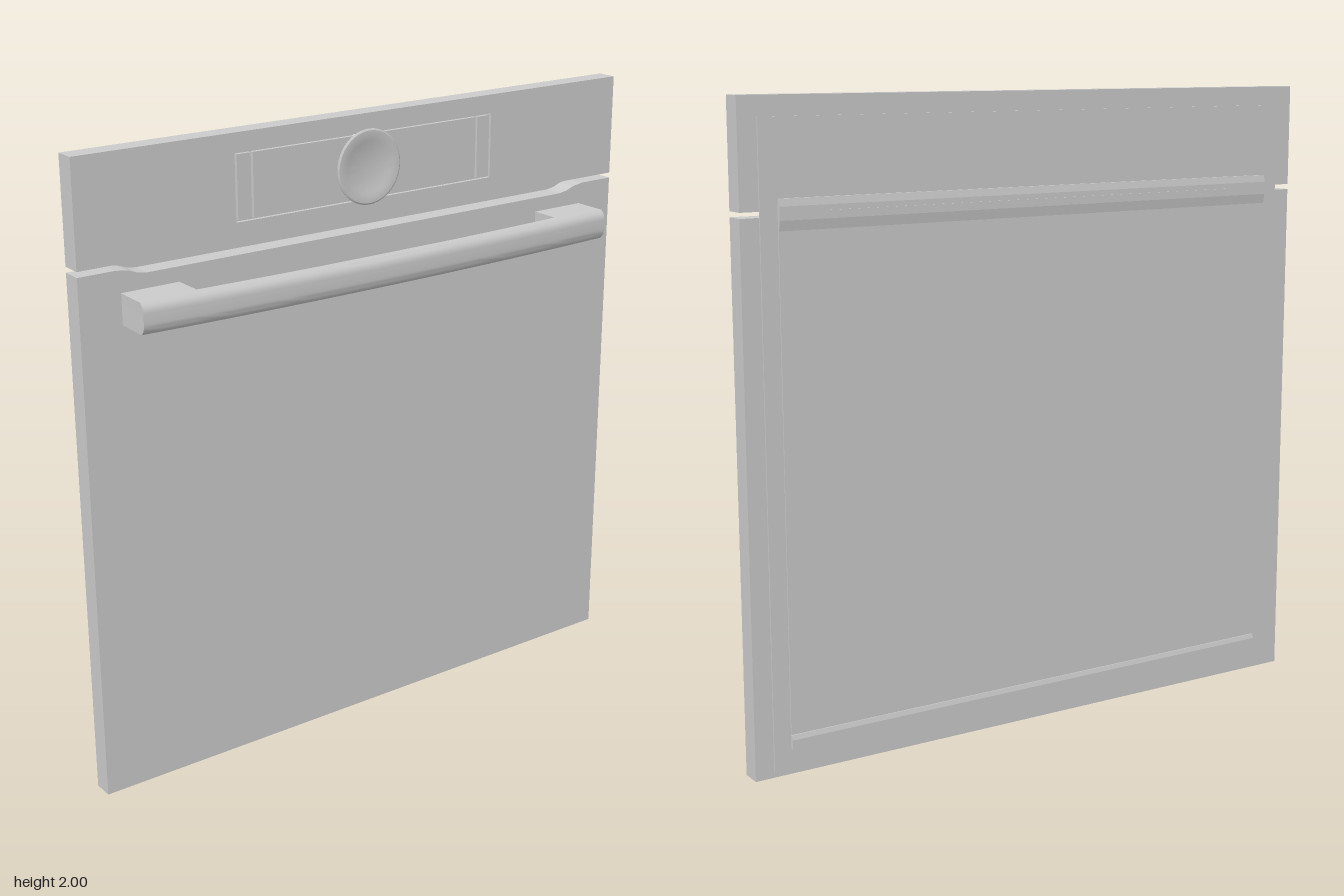
import * as THREE from 'three';
import { toCreasedNormals } from 'three/addons/utils/BufferGeometryUtils.js';

const FRONT = -0.035, BACK = -0.1;

export function createModel() {
  const group = new THREE.Group();
  const material = new THREE.MeshStandardMaterial({ color: 0xcccccc });

  const add = (name, geometry) => {
    const mesh = new THREE.Mesh(geometry, material);
    mesh.name = name;
    group.add(mesh);
    return mesh;
  };
  // Box given by its limits
  const box = (name, x0, x1, y0, y1, z0, z1) =>
    add(name, new THREE.BoxGeometry(x1 - x0, y1 - y0, z1 - z0))
      .position.set((x0 + x1) / 2, (y0 + y1) / 2, (z0 + z1) / 2);
  const outline = (pts, Type = THREE.Shape) => new Type(pts.map(p => new THREE.Vector2(...p)));
  const rect = (x, y0, y1) => [[-x, y0], [x, y0], [x, y1], [-x, y1]];
  const slab = (name, shape) =>
    add(name, new THREE.ExtrudeGeometry(shape, { depth: FRONT - BACK, bevelEnabled: false }))
      .position.z = BACK;

  // Door with a shallow scooped vent along its top edge
  slab('door', outline([
    [-1, 0], [1, 0], [1, 1.66], [0.88, 1.66], [0.84, 1.654], [0.81, 1.643], [0.78, 1.638],
    [-0.78, 1.638], [-0.81, 1.643], [-0.84, 1.654], [-0.88, 1.66], [-1, 1.66],
  ]));

  // Control panel with a window for the display inserts
  const panel = outline(rect(1, 1.677, 2));
  panel.holes.push(outline(rect(0.477, 1.735, 1.942), THREE.Path));
  slab('controlPanel', panel);
  box('displayBacking', -0.477, 0.477, 1.735, 1.942, BACK, -0.047);
  box('display', -0.415, 0.415, 1.741, 1.936, -0.05, FRONT);
  for (const s of [-1, 1]) {
    const xs = [s * 0.422, s * 0.47].sort((a, b) => a - b);
    box('displayEndPanel', xs[0], xs[1], 1.741, 1.936, -0.05, FRONT);
  }

  // Rotary knob: bevelled ring around a slightly dished face
  const knobProfile = [
    [0.117, -0.006], [0.117, 0.002], [0.112, 0.005], [0.088, 0.005], [0.08, 0.002], [0, 0.002],
  ].map(p => new THREE.Vector2(...p));
  const knob = add('knob', toCreasedNormals(new THREE.LatheGeometry(knobProfile, 64), 0.4));
  knob.rotation.x = Math.PI / 2;
  knob.position.set(0, 1.835, FRONT);

  // Bowed handle with its two end posts, drawn in plan and extruded downwards
  const plan = [[0.865, FRONT], [0.675, FRONT]];
  for (let i = 0; i <= 24; i++) {
    const t = 1 - i / 12;
    plan.push([0.675 * t, 0.076 - 0.016 * t * t]);
  }
  plan.push([-0.675, FRONT], [-0.865, FRONT]);
  for (let i = 0; i <= 32; i++) {
    const t = i / 16 - 1;
    plan.push([0.867 * t, 0.117 - 0.025 * t * t]);
  }
  const height = 0.095;
  const handle = new THREE.ExtrudeGeometry(outline(plan), { depth: height, steps: 12, bevelEnabled: false });
  // Round the front face towards its upper and lower edges
  const pos = handle.attributes.position;
  for (let i = 0; i < pos.count; i++) {
    const v = (pos.getZ(i) / height) * 2 - 1;
    if (pos.getY(i) > 0.08) pos.setY(i, pos.getY(i) - 0.016 * v ** 4);
  }
  handle.rotateX(Math.PI / 2);
  add('handle', toCreasedNormals(handle, 0.6)).position.y = 1.592;

  // Rear seal plate and inner glass
  box('rearPlate', -0.94, 0.94, 0.02, 1.94, -0.105, BACK);
  box('innerGlass', -0.885, 0.885, 0.08, 1.71, -0.109, -0.104);

  // Wedge-shaped retaining strips over the top and bottom of the glass
  const strip = (name, profile) => {
    const g = new THREE.ExtrudeGeometry(outline(profile), { depth: 1.77, bevelEnabled: false });
    g.rotateY(-Math.PI / 2);
    add(name, g).position.x = 0.885;
  };
  strip('topStrip', [[-0.105, 1.62], [-0.105, 1.712], [-0.113, 1.712], [-0.117, 1.69], [-0.117, 1.65], [-0.112, 1.62]]);
  strip('bottomStrip', [[-0.105, 0.08], [-0.105, 0.125], [-0.112, 0.125], [-0.116, 0.11], [-0.116, 0.08]]);
  box('ventLip', -0.74, 0.74, 1.664, 1.674, -0.12, -0.116);

  return group;
}
